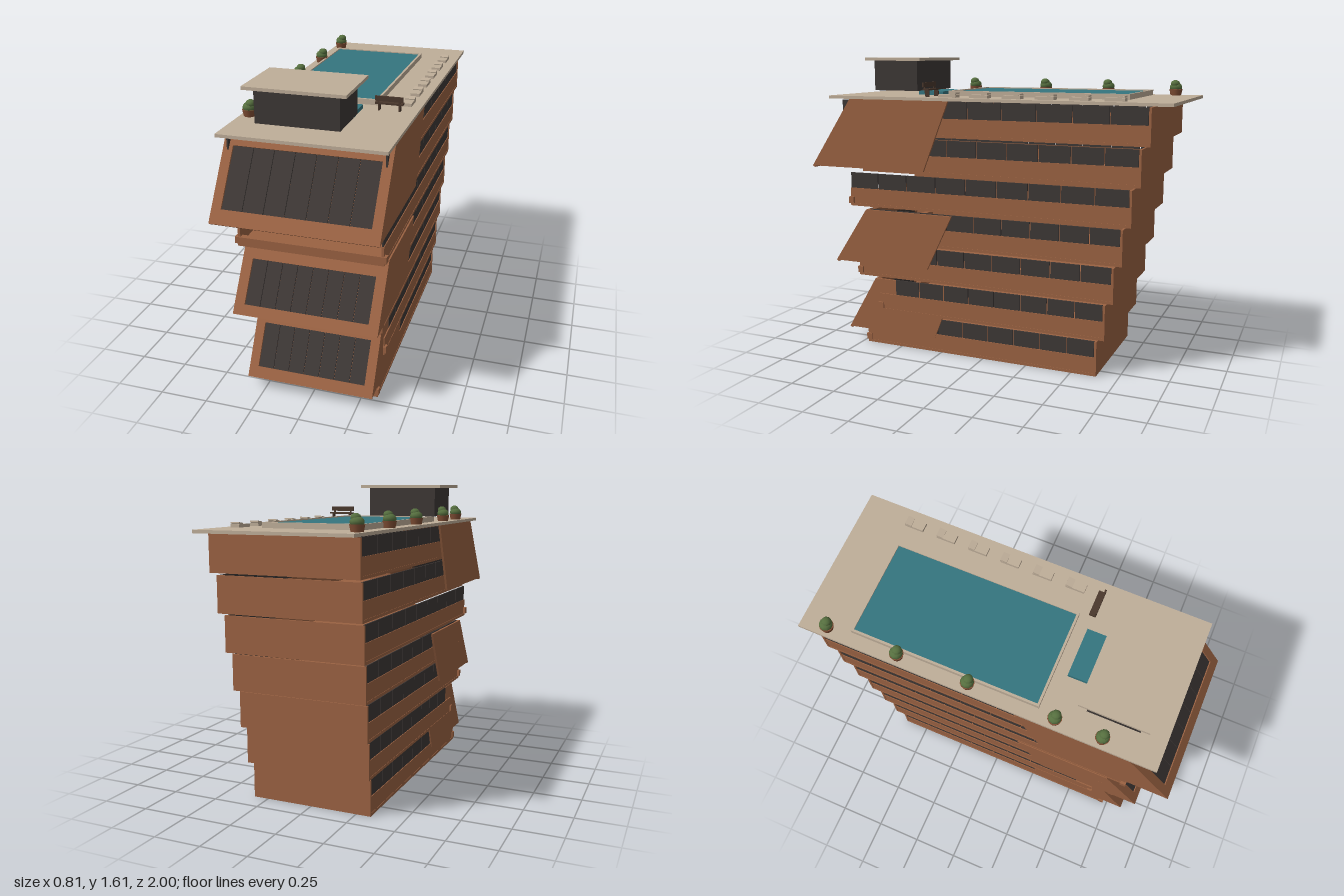
import * as THREE from 'three';

const mat = (name, color, extra = {}) => Object.assign(new THREE.MeshStandardMaterial({ color, ...extra }), { name });

export function createModel() {
  const root = new THREE.Group();
  root.name = 'terracedHotel';
  const clay = mat('clay brown', 0x9a6242);
  const glass = mat('smoked glass', 0x3d3735);
  const stone = mat('pale stone', 0xbfae99);
  const water = mat('pool water', 0x35757f);
  const wood = mat('dark wood', 0x4a382c);
  const leaf = mat('leaf green', 0x566f3f);
  const pot = mat('terracotta', 0x824f35);

  // Box given by its limits on each axis
  const box = (parent, name, m, x0, x1, y0, y1, z0, z1) => {
    const b = new THREE.Mesh(new THREE.BoxGeometry(x1 - x0, y1 - y0, z1 - z0), m);
    b.position.set((x0 + x1) / 2, (y0 + y1) / 2, (z0 + z1) / 2);
    b.name = name;
    parent.add(b);
    return b;
  };
  const group = (name, parent = root) => {
    const g = new THREE.Group();
    g.name = name;
    parent.add(g);
    return g;
  };

  // Seven storeys, each a little larger than the one below; open at the front
  const fronts = [0.72, 0.63, 0.75, 0.67, 0.78, 0.69, 0.805];
  fronts.forEach((zf, i) => {
    const g = group('storey' + (i + 1));
    const y = i * 0.2 + 0.003, hw = 0.33 + i * 0.01, zb = -0.637 - i * 0.043;
    const top = y + 0.185;
    box(g, 'floorSlab', clay, -hw, hw, y, y + 0.015, zb, zf);
    box(g, 'backWall', clay, -hw, hw, y + 0.015, top, zb, zb + 0.012);
    const rail = 0.336 + i * 0.0115;
    box(g, 'frontRail', clay, -rail, rail, y + 0.015, y + 0.05, zf - 0.025, zf + 0.006);
    const glassFront = i === 1 ? 0.53 : zf;
    const count = i === 1 ? 8 : 9;
    const pitch = (glassFront - zb - 0.012) / count;
    for (const s of [-1, 1]) {
      const inner = s * (hw - 0.015), outer = s * (hw - 0.002);
      box(g, 'sideParapet', clay, Math.min(inner, outer), Math.max(inner, outer), y + 0.015, y + 0.1, zb + 0.012, zf);
      const gi = s * (hw - 0.014), go = s * (hw - 0.006);
      for (let k = 0; k < count; k++) {
        const z = zb + 0.012 + k * pitch;
        box(g, 'sideWindow', glass, Math.min(gi, go), Math.max(gi, go), y + 0.1, top, z + 0.003, z + pitch - 0.003);
      }
    }
  });
  for (const s of [-1, 1]) box(root, 'entrancePillar', stone, s * 0.29 - 0.01, s * 0.29 + 0.01, 0.015, 0.185, 0.59, 0.61);

  // Leaning bays: two sheared side panels and a sloped, glazed front
  function bay(name, hw, bottom, top, zBack0, zBack1, winHalf, winY0, winY1, panes) {
    const g = group(name);
    const [z0, y0] = bottom, [z1, y1] = top;
    // Shape x runs along -z so that the extrusion runs along +x
    const side = new THREE.Shape([[z0, y0], [zBack0, y0], [zBack1, y1], [z1, y1]].map(([z, y]) => new THREE.Vector2(-z, y)));
    for (const s of [-1, 1]) {
      const geo = new THREE.ExtrudeGeometry(side, { depth: 0.012, bevelEnabled: false });
      geo.rotateY(Math.PI / 2);
      const m = new THREE.Mesh(geo, clay);
      m.position.x = s > 0 ? hw - 0.012 : -hw;
      m.name = 'baySide';
      g.add(m);
    }
    const face = group('bayFront', g);
    face.position.set(0, y0, z0);
    face.rotation.x = -Math.atan2(z0 - z1, y1 - y0);
    const len = Math.hypot(z0 - z1, y1 - y0), k = len / (y1 - y0);
    const a = (winY0 - y0) * k, b = (winY1 - y0) * k, w = hw - 0.001;
    const frame = new THREE.Shape([[-w, 0], [w, 0], [w, len], [-w, len]].map(p => new THREE.Vector2(...p)));
    frame.holes.push(new THREE.Path([[-winHalf, a], [-winHalf, b], [winHalf, b], [winHalf, a]].map(p => new THREE.Vector2(...p))));
    const fm = new THREE.Mesh(new THREE.ExtrudeGeometry(frame, { depth: 0.015, bevelEnabled: false }), clay);
    fm.position.z = -0.015;
    fm.name = 'bayFrame';
    face.add(fm);
    const p = 2 * winHalf / panes;
    for (let i = 0; i < panes; i++) {
      const x = -winHalf + i * p;
      box(face, 'bayWindow', glass, x + 0.0015, x + p - 0.0015, a, b, -0.014, -0.006);
    }
  }
  bay('lowerBay', 0.332, [0.84, 0.08], [0.66, 0.385], 0.29, 0.17, 0.285, 0.13, 0.325, 7);
  bay('middleBay', 0.37, [0.89, 0.48], [0.685, 0.785], 0.31, 0.16, 0.318, 0.525, 0.715, 8);
  bay('upperBay', 0.405, [1.0, 1.02], [0.745, 1.394], 0.305, 0.155, 0.358, 1.08, 1.33, 7);

  // Roof terrace and pools
  const roof = group('roofTerrace');
  box(roof, 'roofSlab', stone, -0.405, 0.405, 1.394, 1.41, -1, 0.875);
  const [px0, px1, pz0, pz1, t] = [-0.335, 0.19, -0.74, 0.255, 0.012];
  box(roof, 'poolRimLeft', stone, px1 - t, px1, 1.41, 1.438, pz0, pz1);
  box(roof, 'poolRimRight', stone, px0, px0 + t, 1.41, 1.438, pz0, pz1);
  box(roof, 'poolRimBack', stone, px0 + t, px1 - t, 1.41, 1.438, pz0, pz0 + t);
  box(roof, 'poolRimFront', stone, px0 + t, px1 - t, 1.41, 1.438, pz1 - t, pz1);
  box(roof, 'poolWater', water, px0 + t, px1 - t, 1.41, 1.432, pz0 + t, pz1 - t);
  box(roof, 'plungePool', water, -0.13, 0.13, 1.41, 1.43, 0.32, 0.47);

  // Pavilion
  box(roof, 'pavilionGlass', glass, -0.265, 0.147, 1.43, 1.595, 0.47, 0.74);
  box(roof, 'pavilionCanopy', stone, -0.31, 0.188, 1.595, 1.611, 0.43, 0.775);

  // Planters
  for (const z of [-0.86, -0.48, -0.105, 0.345, 0.585]) {
    const g = group('planter', roof);
    g.position.set(-0.358, 1.41, z);
    const add = (name, geo, m, x, y, zz) => {
      const o = new THREE.Mesh(geo, m);
      o.position.set(x, y, zz);
      o.name = name;
      g.add(o);
    };
    add('pot', new THREE.CylinderGeometry(0.036, 0.029, 0.033, 12), pot, 0, 0.0165, 0);
    add('lowerLeaves', new THREE.SphereGeometry(0.034, 10, 7).scale(1, 0.75, 1), leaf, 0, 0.043, 0);
    add('upperLeaves', new THREE.SphereGeometry(0.025, 10, 7).scale(1, 0.8, 1), leaf, 0.008, 0.062, 0.003);
  }

  // Sun loungers
  for (let i = 0; i < 6; i++) {
    const z = -0.707 + i * 0.178;
    const g = group('sunLounger', roof);
    box(g, 'loungerBase', stone, 0.307, 0.355, 1.41, 1.426, z - 0.05, z + 0.05);
    const head = box(g, 'loungerHead', stone, 0.307, 0.355, 1.426, 1.434, z - 0.05, z - 0.015);
    head.rotation.x = 0.15;
  }

  // Bench
  const bench = group('bench', roof);
  box(bench, 'benchSeat', wood, 0.195, 0.335, 1.443, 1.452, 0.3, 0.335);
  box(bench, 'benchBack', wood, 0.195, 0.335, 1.46, 1.485, 0.328, 0.337);
  for (const x of [0.213, 0.317]) {
    box(bench, 'benchLeg', wood, x - 0.004, x + 0.004, 1.41, 1.443, 0.305, 0.33);
    box(bench, 'benchPost', wood, x - 0.004, x + 0.004, 1.45, 1.462, 0.328, 0.335);
  }
  return root;
}
